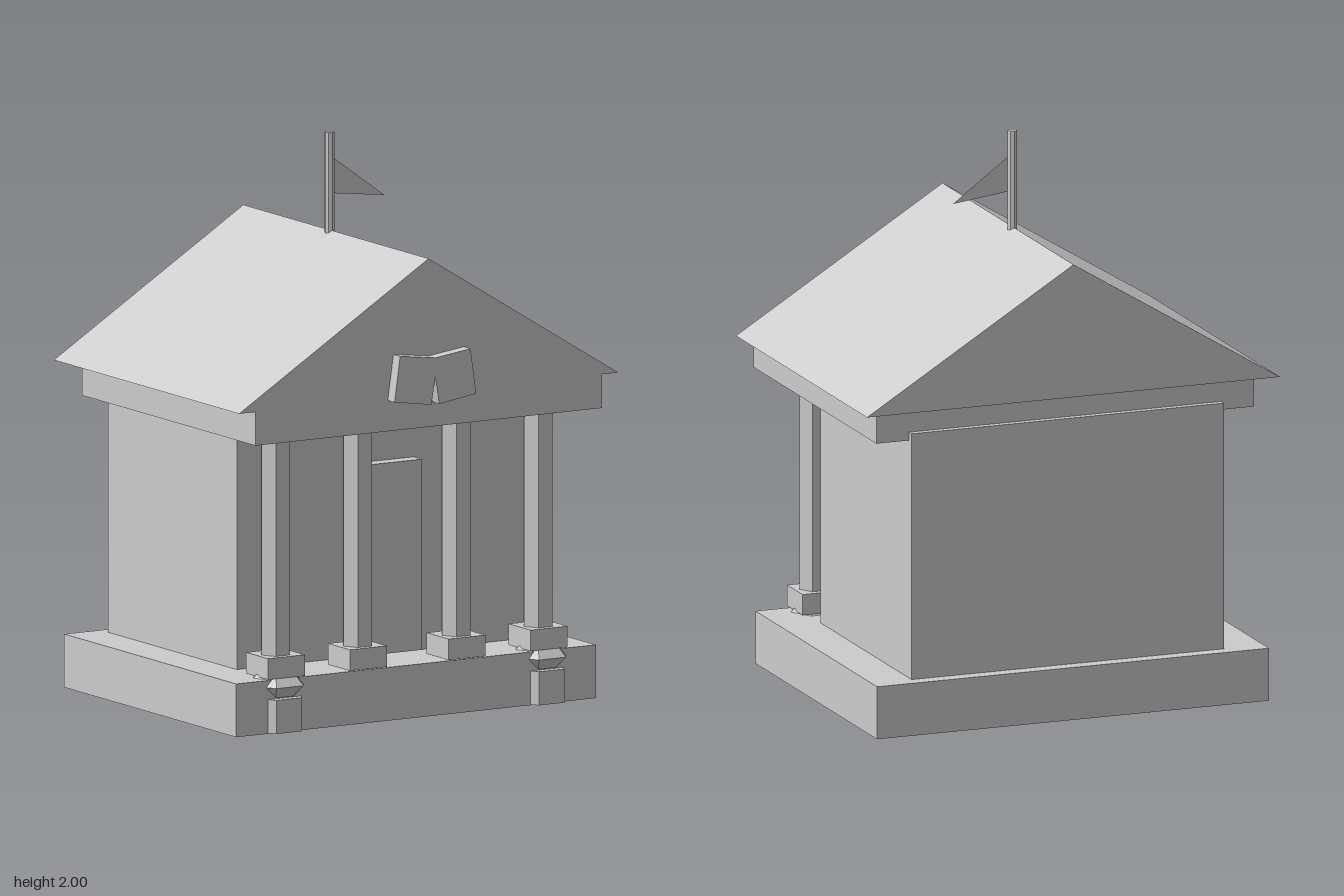
import * as THREE from 'three';

const stone = new THREE.MeshStandardMaterial({ color: 0xcccccc, flatShading: true });
stone.name = 'grey stone';
const cloth = stone.clone(); // same grey, visible from both sides
cloth.name = 'grey cloth';
cloth.side = THREE.DoubleSide;

export function createModel() {
  const model = new THREE.Group();
  model.name = 'temple';

  const add = (name, geometry, material = stone) => {
    const mesh = new THREE.Mesh(geometry, material);
    mesh.name = name;
    model.add(mesh);
    return mesh;
  };
  // Box given by its limits on each axis
  const box = (name, x0, x1, y0, y1, z0, z1) =>
    add(name, new THREE.BoxGeometry(x1 - x0, y1 - y0, z1 - z0))
      .position.set((x0 + x1) / 2, (y0 + y1) / 2, (z0 + z1) / 2);
  // Upright six-sided prism with a flat face to the front
  const hex = (name, x, z, y0, y1, rBottom, rTop) =>
    add(name, new THREE.CylinderGeometry(rTop, rBottom, y1 - y0, 6, 1, false, Math.PI / 6))
      .position.set(x, (y0 + y1) / 2, z);
  const outline = (points) => new THREE.Shape(points.map(([x, y]) => new THREE.Vector2(x, y)));
  const slab = (name, points, z0, z1) =>
    add(name, new THREE.ExtrudeGeometry(outline(points), { depth: z1 - z0, bevelEnabled: false }))
      .position.z = z0;

  // Building body
  box('plinth', -0.74, 0.74, 0, 0.19, -0.64, 0.515);
  box('hall', -0.59, 0.59, 0.19, 1.08, -0.59, 0.275);
  box('door', -0.138, 0.138, 0.2, 0.88, 0.26, 0.328);
  box('entablature', -0.713, 0.713, 1.05, 1.17, -0.565, 0.6);
  slab('gableRoof', [[-0.78, 1.17], [0.78, 1.17], [0, 1.65]], -0.645, 0.6);

  // Columns on square bases; the outer pair also has a pier set into the plinth
  const columnZ = 0.453;
  for (const side of [-1, 1]) {
    for (const distance of [0.203, 0.54]) {
      const x = side * distance;
      hex('columnShaft', x, columnZ, 0.26, 1.06, 0.058, 0.058);
      box('columnBase', x - 0.076, x + 0.076, 0.195, 0.27, columnZ - 0.074, columnZ + 0.074);
    }
    const x = side * 0.54;
    hex('pier', x, columnZ, 0.002, 0.122, 0.105, 0.105);
    hex('pierCollarLower', x, columnZ, 0.122, 0.165, 0.069, 0.112);
    hex('pierCollarUpper', x, columnZ, 0.165, 0.203, 0.112, 0.078);
  }

  // Notched plaque on the pediment
  slab('pedimentPlaque', [
    [-0.145, 1.322], [-0.168, 1.16], [-0.016, 1.137], [0, 1.237],
    [0.016, 1.137], [0.168, 1.16], [0.145, 1.322], [0, 1.303],
  ], 0.59, 0.645);

  // Flagpole and pennant on the ridge
  add('flagpole', new THREE.CylinderGeometry(0.018, 0.018, 0.36, 8)).position.set(0, 1.82, -0.065);
  add('pennant', new THREE.ShapeGeometry(outline([[0.01, 1.78], [0.225, 1.753], [0.01, 1.91]])), cloth)
    .position.z = -0.065;

  return model;
}
